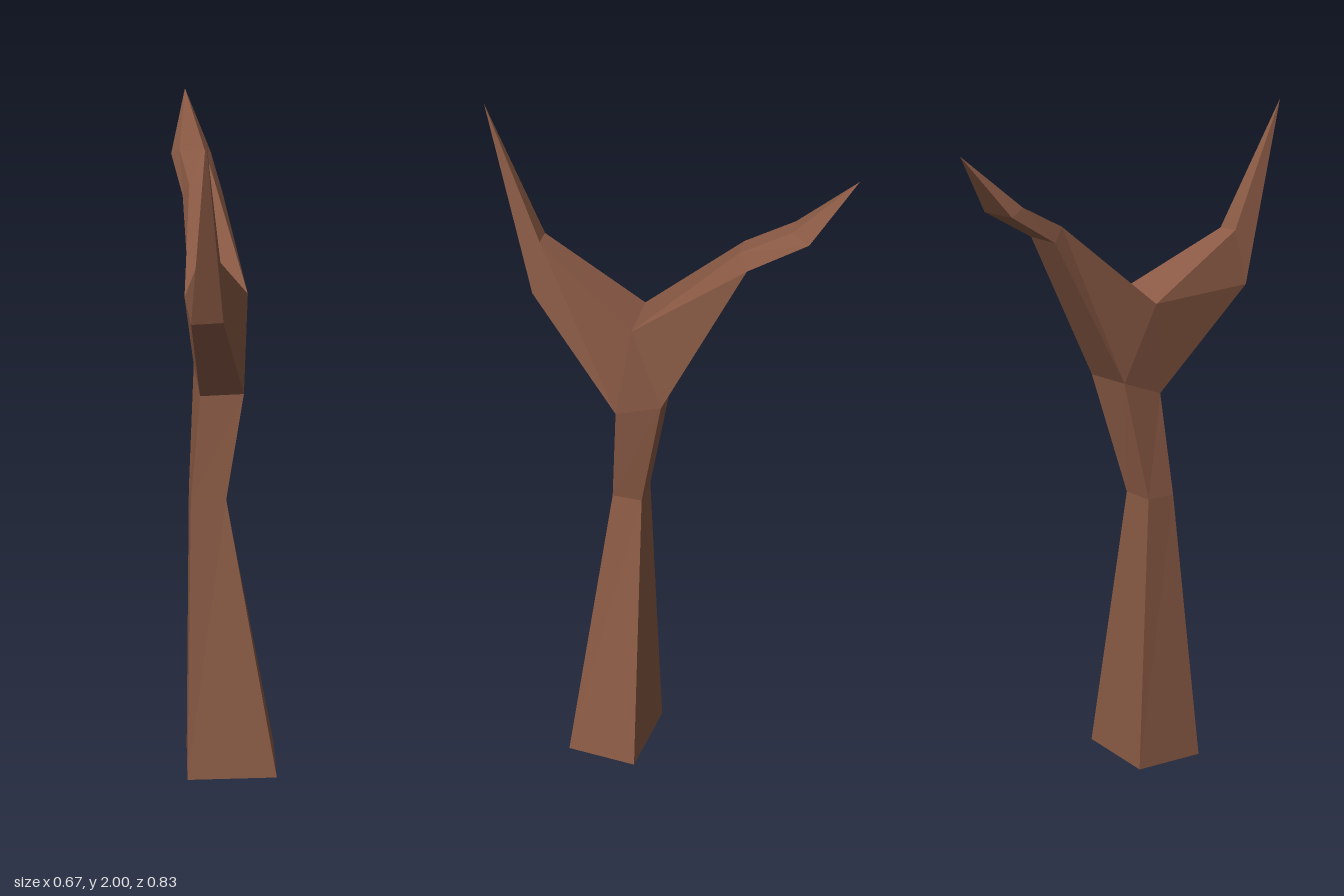
import * as THREE from 'three';

// Skins a series of four-cornered sections; a one-point section closes to a tip.
function loft(sections) {
  const tris = [];
  for (let s = 0; s < sections.length - 1; s++) {
    const lower = sections[s], upper = sections[s + 1];
    for (let i = 0; i < 4; i++) {
      const j = (i + 1) % 4;
      if (upper.length === 1) tris.push(lower[i], lower[j], upper[0]);
      else tris.push(lower[i], lower[j], upper[j], lower[i], upper[j], upper[i]);
    }
  }
  return tris;
}

function facetedMesh(name, corners, material) {
  const geometry = new THREE.BufferGeometry();
  geometry.setAttribute('position', new THREE.Float32BufferAttribute(corners.flat(), 3));
  geometry.computeVertexNormals();
  const mesh = new THREE.Mesh(geometry, material);
  mesh.name = name;
  return mesh;
}

export function createModel() {
  const bark = new THREE.MeshStandardMaterial({ color: 0x8a5a45, flatShading: true });
  bark.name = 'brown bark';

  // Shared corners where the trunk divides
  const right = [0.13, 1.22, 0.067], front = [0.035, 1.17, 0.17];
  const left = [-0.07, 1.17, 0.1], back = [0.005, 1.22, -0.01];
  const crotchFront = [0.08, 1.45, 0.135], crotchBack = [-0.075, 1.45, 0.04];

  // Tapering trunk with a closed foot
  const foot = [[0.172, 0, 0.172], [-0.038, 0, 0.005], [-0.18, 0, 0.167], [0.028, 0, 0.335]];
  const waist = [[0.03, 0.86, 0.092], [-0.055, 0.86, 0.035], [-0.11, 0.86, 0.105], [-0.025, 0.86, 0.163]];
  const trunk = loft([foot, waist, [right, back, left, front]]);
  trunk.push(foot[0], foot[2], foot[1], foot[0], foot[3], foot[2]);

  // Two bark panels filling the fork between the branches
  const fork = [front, right, crotchFront, back, left, crotchBack];

  // Short upright branch
  const shortBranch = loft([
    [front, crotchFront, crotchBack, left],
    [[-0.2, 1.47, 0.336], [-0.19, 1.63, 0.312], [-0.243, 1.63, 0.28], [-0.275, 1.47, 0.29]],
    [[-0.337, 2, 0.415]],
  ]);

  // Long crooked branch
  const longBranch = loft([
    [back, crotchBack, crotchFront, right],
    [[0.142, 1.66, -0.21], [0.135, 1.7, -0.173], [0.2, 1.7, -0.133], [0.238, 1.66, -0.14]],
    [[0.217, 1.75, -0.345], [0.205, 1.77, -0.293], [0.27, 1.77, -0.256], [0.32, 1.75, -0.283]],
    [[0.335, 1.92, -0.415]],
  ]);

  const model = new THREE.Group();
  model.name = 'forkedTree';
  model.add(
    facetedMesh('trunk', trunk, bark),
    facetedMesh('fork', fork, bark),
    facetedMesh('shortBranch', shortBranch, bark),
    facetedMesh('longBranch', longBranch, bark),
  );
  return model;
}
